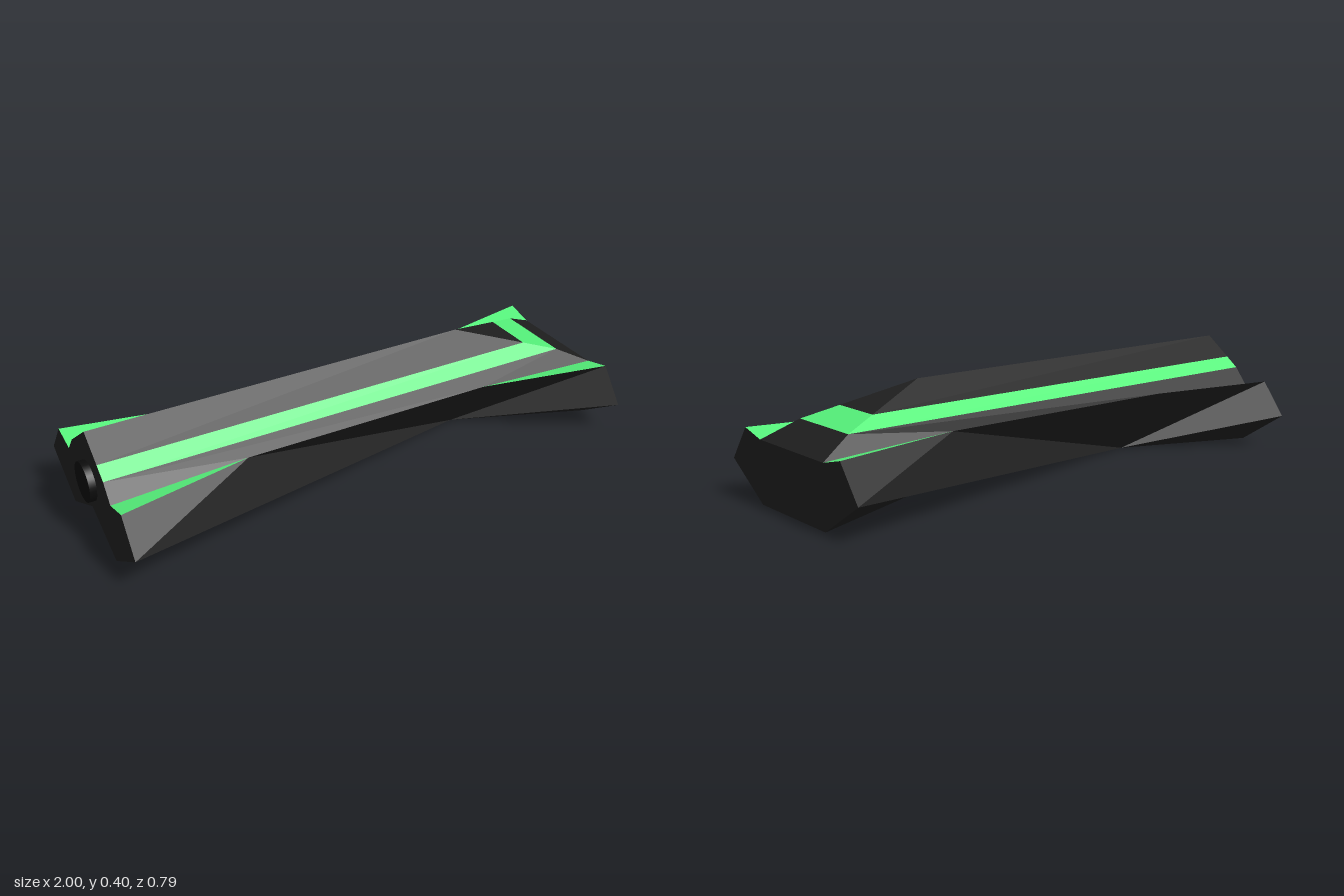
import * as THREE from 'three';

const dark = new THREE.MeshStandardMaterial({ color: 0x1e1e1e, flatShading: true });
const green = new THREE.MeshStandardMaterial({ color: 0x55f07a, flatShading: true });
const black = new THREE.MeshStandardMaterial({ color: 0x0c0c0c });

const X0 = -0.975, X1 = 1;
const mirror = ([x, y, z]) => [x, y, -z];
const turn = ([x, y, z]) => [X0 + X1 - x, y, -z]; // half turn about the middle

// Mesh from polygons, each split into a fan from its first corner
function facets(name, polygons, material) {
  const pos = [];
  for (const p of polygons)
    for (let i = 1; i < p.length - 1; i++) pos.push(...p[0], ...p[i], ...p[i + 1]);
  const g = new THREE.BufferGeometry();
  g.setAttribute('position', new THREE.Float32BufferAttribute(pos, 3));
  g.computeVertexNormals();
  const mesh = new THREE.Mesh(g, material);
  mesh.name = name;
  return mesh;
}
const withTurned = (polys) => [...polys, ...polys.map((p) => p.map(turn))];
const withMirrored = (polys) => [...polys, ...polys.map((p) => p.map(mirror).reverse())];

export function createModel() {
  const model = new THREE.Group();
  model.name = 'casing';

  // Flared end section: foot, flank, wing tip, wing root
  const section = (x) => [[x, 0, 0.2], [x, 0.125, 0.395], [x, 0.25, 0.3], [x, 0.225, 0.2]];
  const L = section(X0), R = section(X1);
  const [La, Lb, Lc, Ld] = L, [Ra, Rb, Rc, Rd] = R;

  // Keel points, shoulder points and the groove under the rear end
  const Q = [-0.475, 0, 0], P = [0.5, 0, 0];
  const T1 = [-0.475, 0.25, 0.2], T2 = [0.5, 0.25, 0.2];
  const N = [X0, 0.1, 0];

  // Twisted flanks and underside
  model.add(facets('lowerBody', [
    ...withTurned([
      [Lb, T1, Lc], [Lb, P, T1], [P, T2, T1], [P, Rc, T2], [P, Rb, Rc],
      [Lb, La, Q], [Lb, Q, P], [P, Ra, Rb],
    ]),
    [Ra, P, mirror(Ra)], [La, N, Q], [N, mirror(La), Q],
  ], dark));

  // Wing tops at the four corners
  model.add(facets('wingTops', withTurned([[Lc, T1, Ld], [Rc, Rd, T2]]), green));

  // Roof ridge with a stripe that wraps round the sloping nose
  const s1L = [X0, 0.2875, 0.15], s1R = [0.875, 0.2875, 0.15];
  const s2L = [X0, 0.325, 0.1], s2R = [0.75, 0.325, 0.1];
  const topL = [X0, 0.4, 0], topR = [0.5, 0.4, 0];
  model.add(facets('roof', [
    ...withMirrored([
      [s1L, Ld, T1, T2, s1R], [T2, Rd, s1R],
      [s2L, s2R, topR, topL],
    ]),
    [topR, s2R, mirror(s2R)],
    [s1R, Rd, mirror(Rd), mirror(s1R)],
  ], dark));
  model.add(facets('roofStripe', [
    ...withMirrored([[s1L, s1R, s2R, s2L]]),
    [s2R, s1R, mirror(s1R), mirror(s2R)],
  ], green));

  // End plates
  const half = [...L, s1L, s2L];
  model.add(facets('rearPlate', [[N, ...half, topL, ...half.map(mirror).reverse()]], dark));
  const rim = [...R.map(mirror), ...R.slice().reverse()];
  model.add(facets('nosePlate', [[[X1, 0.1, 0], ...rim, rim[0]]], dark));

  // Round socket standing out of the rear plate
  const socket = new THREE.Mesh(new THREE.CylinderGeometry(0.073, 0.073, 0.1, 32), black);
  socket.name = 'rearSocket';
  socket.rotation.z = Math.PI / 2;
  socket.position.set(-0.95, 0.208, 0);
  model.add(socket);

  return model;
}
